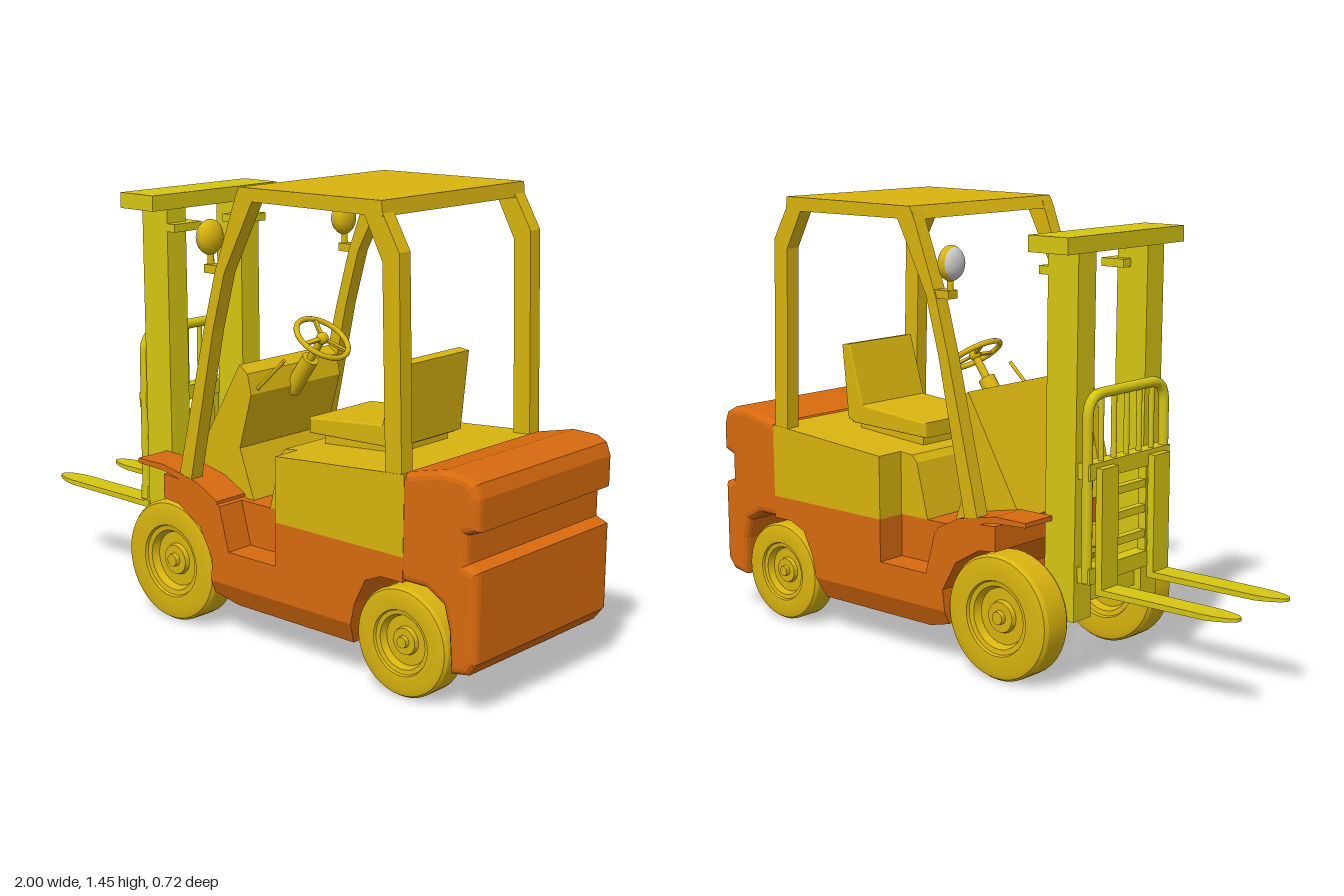
import * as THREE from 'three';
import { toCreasedNormals } from 'three/addons/utils/BufferGeometryUtils.js';

const mat = (color) => new THREE.MeshStandardMaterial({ color });
const yellow = mat(0xd9b40f), mastYellow = mat(0xd6c612), orange = mat(0xd86a0e), grey = mat(0xcccccc);

export function createModel() {
  const root = new THREE.Group();

  const add = (name, geo, material, parent = root) => {
    const m = new THREE.Mesh(geo, material);
    m.name = name;
    parent.add(m);
    return m;
  };
  // side profile in x/y extruded from z0 to z1
  const slabGeo = (pts, z0, z1, bevel = 0) => {
    const shape = new THREE.Shape(pts.map(([x, y]) => new THREE.Vector2(x, y)));
    const geo = new THREE.ExtrudeGeometry(shape, {
      depth: z1 - z0 - 2 * bevel, bevelEnabled: bevel > 0, bevelSize: bevel,
      bevelThickness: bevel, bevelOffset: -bevel, bevelSegments: 3,
    });
    return geo.translate(0, 0, z0 + bevel);
  };
  const slab = (name, pts, z0, z1, material, bevel) => add(name, slabGeo(pts, z0, z1, bevel), material);
  const box = (name, x0, x1, y0, y1, z0, z1, material) =>
    add(name, new THREE.BoxGeometry(x1 - x0, y1 - y0, z1 - z0), material)
      .position.set((x0 + x1) / 2, (y0 + y1) / 2, (z0 + z1) / 2);
  // the same slab on both sides
  const pair = (name, pts, z0, z1, material) => {
    slab(name + 'Left', pts, z0, z1, material);
    slab(name + 'Right', pts, -z1, -z0, material);
  };
  const rod = (name, a, b, r, material) => {
    const p = new THREE.Vector3(...a), q = new THREE.Vector3(...b);
    const m = add(name, new THREE.CylinderGeometry(r, r, p.distanceTo(q), 16), material);
    m.position.copy(p).lerp(q, 0.5);
    m.quaternion.setFromUnitVectors(new THREE.Vector3(0, 1, 0), q.sub(p).normalize());
  };

  // Chassis: central core, side skins with step recess, tapered skirt
  const W = 0.335, IN = 0.235;
  const underside = [[0.74, 0.44], [0.74, 0.365], [0.66, 0.365], [0.6, 0.34], [0.56, 0.26], [0.545, 0.19],
    [-0.04, 0.19], [-0.032, 0.26], [-0.088, 0.357], [-0.184, 0.413], [-0.25, 0.42]];
  const frontTop = [[-0.25, 0.5], [-0.1, 0.49], [0, 0.44]];
  slab('chassisCore', [...frontTop, ...underside], -IN, IN, orange);
  pair('sidePanel', [...frontTop, [0.04, 0.3], [0.24, 0.3], [0.24, 0.44], ...underside], IN, W, orange);
  const skirt = slabGeo([[-0.04, 0.19], [-0.04, 0.145], [0.05, 0.12], [0.53, 0.12], [0.545, 0.19]], -W, W);
  const sp = skirt.attributes.position;
  for (let i = 0; i < sp.count; i++) sp.setZ(i, sp.getZ(i) * (1 - (0.19 - sp.getY(i)) * 1.4));
  skirt.computeVertexNormals();
  add('skirt', skirt, orange);
  pair('fender', [[-0.37, 0.515], [-0.37, 0.53], [-0.25, 0.53], [-0.1, 0.5], [-0.01, 0.455], [-0.01, 0.435],
    [-0.11, 0.48], [-0.25, 0.51]], 0.21, W, orange);

  // Counterweight with the rear groove
  slab('counterweight', [[0.72, 0.365], [0.82, 0.365], [0.88, 0.33], [0.9, 0.26], [0.91, 0.13], [0.97, 0.14],
    [1, 0.18], [1, 0.45], [0.96, 0.465], [0.96, 0.55], [1, 0.565], [1, 0.66], [0.985, 0.7], [0.95, 0.718],
    [0.87, 0.72], [0.74, 0.69], [0.72, 0.66]], -W, W, orange, 0.024);

  // Engine hood, narrow at the front
  slab('hood', [[0.24, 0.44], [0.74, 0.44], [0.74, 0.685], [0.24, 0.647]], -W, W, yellow);
  slab('hoodFront', [[0.125, 0.44], [0.24, 0.44], [0.24, 0.647], [0.19, 0.642], [0.17, 0.62]], -IN, IN, yellow);

  // Dashboard cowl
  slab('dashboard', [[-0.245, 0.5], [-0.03, 0.87], [0.005, 0.845], [0.02, 0.78], [-0.03, 0.6], [0.03, 0.44],
    [-0.1, 0.44]], -0.21, 0.21, yellow);

  // Seat
  slab('seatPedestal', [[0.25, 0.64], [0.54, 0.66], [0.54, 0.7], [0.25, 0.69]], -0.12, 0.12, yellow);
  slab('seatCushion', [[0.21, 0.68], [0.55, 0.69], [0.55, 0.755], [0.5, 0.755], [0.21, 0.73]], -0.15, 0.15, yellow, 0.006);
  slab('seatBack', [[0.5, 0.75], [0.53, 0.69], [0.57, 0.7], [0.595, 0.95], [0.56, 0.955]], -0.15, 0.15, yellow, 0.006);

  // Steering wheel, column and lever
  const steering = new THREE.Group();
  steering.name = 'steeringWheel';
  steering.position.set(0.13, 0.945, 0);
  steering.quaternion.setFromUnitVectors(new THREE.Vector3(0, 0, 1), new THREE.Vector3(0.57, 0.82, 0).normalize());
  root.add(steering);
  add('steeringRim', new THREE.TorusGeometry(0.09, 0.009, 10, 40), yellow, steering);
  add('steeringHub', new THREE.SphereGeometry(0.02, 16, 10), yellow, steering);
  for (let i = 0; i < 3; i++) {
    const spoke = new THREE.BoxGeometry(0.09, 0.014, 0.008).translate(0.045, 0, 0).rotateZ(i * Math.PI * 2 / 3);
    add('steeringSpoke', spoke, yellow, steering);
  }
  rod('steeringColumn', [0.13, 0.945, 0], [0, 0.76, 0], 0.013, yellow);
  rod('columnSleeve', [0.08, 0.873, 0], [0, 0.76, 0], 0.028, yellow);
  rod('lever', [0, 0.78, 0.175], [0.13, 0.9, 0.175], 0.006, yellow);

  // Overhead guard
  slab('roof', [[0.075, 1.405], [0.65, 1.405], [0.645, 1.45], [0.095, 1.445]], -W, W, yellow);
  pair('frontPillar', [[-0.18, 0.5], [-0.13, 0.48], [-0.02, 1], [0.03, 1.18], [0.15, 1.41], [0.085, 1.43],
    [-0.01, 1.18], [-0.06, 1]], 0.285, W - 0.001, yellow);
  pair('rearPillar', [[0.67, 0.67], [0.73, 0.67], [0.71, 1.31], [0.64, 1.43], [0.58, 1.41], [0.65, 1.28]],
    0.285, W - 0.001, yellow);

  // Head lamps on the front pillars
  for (const s of [-1, 1]) {
    const z = s * 0.31;
    box('lampBracket', -0.06, 0.02, 1.172, 1.198, z - 0.02, z + 0.02, yellow);
    rod('lampStem', [-0.05, 1.18, z], [-0.05, 1.25, z], 0.01, yellow);
    const shell = add('lampShell', new THREE.SphereGeometry(1, 24, 16), yellow);
    shell.scale.set(0.033, 0.055, 0.048);
    shell.position.set(-0.053, 1.28, z);
    const lens = add('lampLens', new THREE.SphereGeometry(1, 24, 8, 0, Math.PI * 2, 0, Math.PI / 2).rotateZ(Math.PI / 2), grey);
    lens.scale.set(0.027, 0.05, 0.044);
    lens.position.set(-0.063, 1.28, z);
  }

  // Wheels: half profile as [radius factor, half-width factor], mirrored across the width
  const half = [[0.001, 0.85], [0.1, 0.85], [0.11, 0.6], [0.24, 0.6], [0.26, 0.35], [0.45, 0.35], [0.5, 0.75],
    [0.58, 0.8], [0.6, 0.95], [0.85, 1], [0.96, 0.9], [1, 0.7]];
  const wheel = (name, x, y, z, r, hw) => {
    const pts = [...half.map(([a, b]) => [a, -b]), ...half.slice().reverse()];
    const geo = new THREE.LatheGeometry(pts.map(([a, b]) => new THREE.Vector2(a * r, b * hw)), 40);
    add(name, toCreasedNormals(geo.rotateX(Math.PI / 2), 0.5), yellow).position.set(x, y, z);
  };
  for (const s of [-1, 1]) {
    wheel('frontWheel', -0.24, 0.205, s * 0.265, 0.2, 0.06);
    wheel('rearWheel', 0.725, 0.175, s * 0.275, 0.167, 0.052);
  }
  rod('frontAxle', [-0.24, 0.205, -0.26], [-0.24, 0.205, 0.26], 0.022, yellow);
  rod('rearAxle', [0.725, 0.175, -0.27], [0.725, 0.175, 0.27], 0.02, yellow);

  // Mast
  pair('mastUpright', [[-0.455, 0.21], [-0.34, 0.21], [-0.35, 1.335], [-0.465, 1.335]], 0.127, 0.21, mastYellow);
  box('mastTop', -0.485, -0.335, 1.33, 1.38, -0.285, 0.285, mastYellow);
  for (const s of [-1, 1]) {
    box('mastBracket', -0.4, -0.315, 1.258, 1.284, s * 0.15 - 0.06, s * 0.15 + 0.06, mastYellow);
  }
  box('mastLowerTie', -0.43, -0.37, 0.25, 0.32, -0.13, 0.13, mastYellow);

  // Load backrest and carriage
  const v = (y, z) => new THREE.Vector3(-0.488, y, z);
  const arch = new THREE.CurvePath();
  arch.add(new THREE.LineCurve3(v(0.34, -0.19), v(0.84, -0.19)));
  arch.add(new THREE.QuadraticBezierCurve3(v(0.84, -0.19), v(0.91, -0.19), v(0.91, -0.12)));
  arch.add(new THREE.LineCurve3(v(0.91, -0.12), v(0.91, 0.12)));
  arch.add(new THREE.QuadraticBezierCurve3(v(0.91, 0.12), v(0.91, 0.19), v(0.84, 0.19)));
  arch.add(new THREE.LineCurve3(v(0.84, 0.19), v(0.34, 0.19)));
  add('backrestFrame', new THREE.TubeGeometry(arch, 80, 0.017, 10), mastYellow);
  for (let i = -2; i <= 2; i++) rod('backrestBar', [-0.488, 0.68, i * 0.063], [-0.488, 0.91, i * 0.063], 0.009, mastYellow);
  for (const y of [0.36, 0.68]) box('carriagePlate', -0.507, -0.46, y - 0.025, y + 0.025, -0.2, 0.2, mastYellow);
  for (const y of [0.44, 0.52, 0.6]) box('carriageRung', -0.5, -0.475, y - 0.012, y + 0.012, -0.1, 0.1, mastYellow);
  for (const s of [-1, 1]) box('carriageRail', -0.502, -0.473, 0.34, 0.7, s * 0.1 - 0.015, s * 0.1 + 0.015, mastYellow);

  // Forks: blade outlined from above with a rounded tip, plus upright shank
  for (const s of [-1, 1]) {
    const blade = new THREE.Shape();
    blade.moveTo(-0.505, -0.04);
    blade.lineTo(-0.505, 0.04);
    blade.lineTo(-0.9, 0.04);
    blade.bezierCurveTo(-1.033, 0.033, -1.033, -0.033, -0.9, -0.04);
    const geo = new THREE.ExtrudeGeometry(blade, { depth: 0.02, bevelEnabled: false }).rotateX(-Math.PI / 2);
    const p = geo.attributes.position;
    for (let i = 0; i < p.count; i++) if (p.getY(i) < 0.01) p.setY(i, Math.max(0, -0.85 - p.getX(i)) * 0.07);
    geo.computeVertexNormals();
    add('forkBlade', geo, mastYellow).position.set(0, 0.298, s * 0.13);
    box('forkShank', -0.53, -0.505, 0.3, 0.69, s * 0.13 - 0.04, s * 0.13 + 0.04, mastYellow);
  }
  return root;
}
